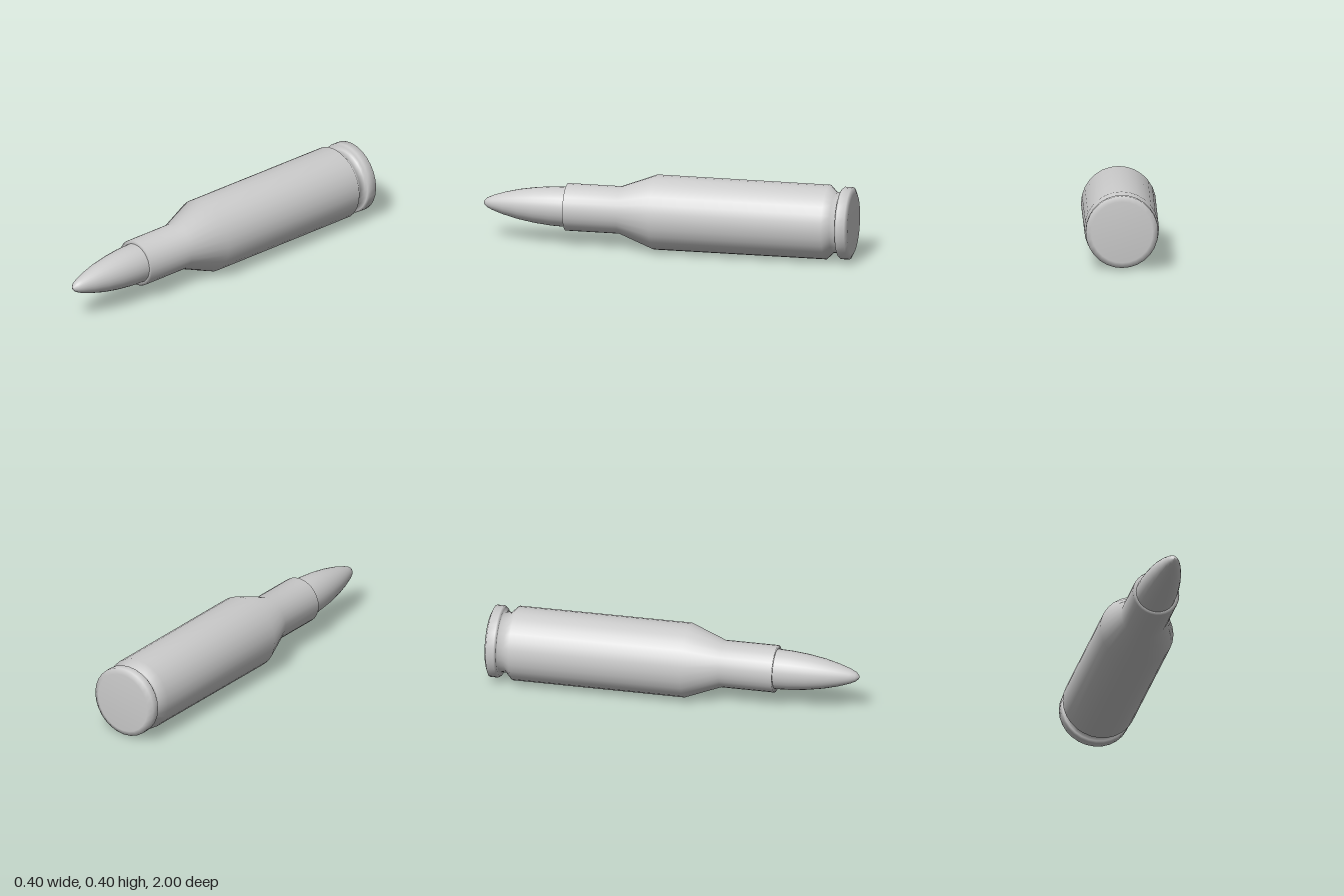
import * as THREE from 'three';

const SIDES = 28;
const AXIS_HEIGHT = 0.2;

// Turns a profile of [z, radius] pairs, listed back to front, around the long axis.
function turned(name, profile) {
  const points = profile.map(([z, r]) => new THREE.Vector2(r, z));
  const geometry = new THREE.LatheGeometry(points, SIDES);
  geometry.rotateX(Math.PI / 2);
  const material = new THREE.MeshStandardMaterial({ color: 0xcccccc });
  const mesh = new THREE.Mesh(geometry, material);
  mesh.name = name;
  mesh.position.y = AXIS_HEIGHT;
  return mesh;
}

export function createModel() {
  const group = new THREE.Group();
  group.name = 'cartridge';

  // Base disc with rounded rim, extractor groove, body, shoulder and neck
  group.add(turned('case', [
    [-1, 0], [-1, 0.163], [-0.987, 0.192], [-0.945, 0.192], [-0.934, 0.183],
    [-0.934, 0.161], [-0.9, 0.161], [-0.863, 0.198],
    [0.07, 0.199], [0.26, 0.126], [0.55, 0.126], [0.55, 0.104],
  ]));

  // Pointed bullet seated in the neck
  group.add(turned('bullet', [
    [0.45, 0], [0.45, 0.107], [0.55, 0.107], [0.63, 0.104], [0.72, 0.095],
    [0.81, 0.08], [0.89, 0.06], [0.95, 0.04], [0.98, 0.026], [0.995, 0.012], [1, 0],
  ]));

  return group;
}
